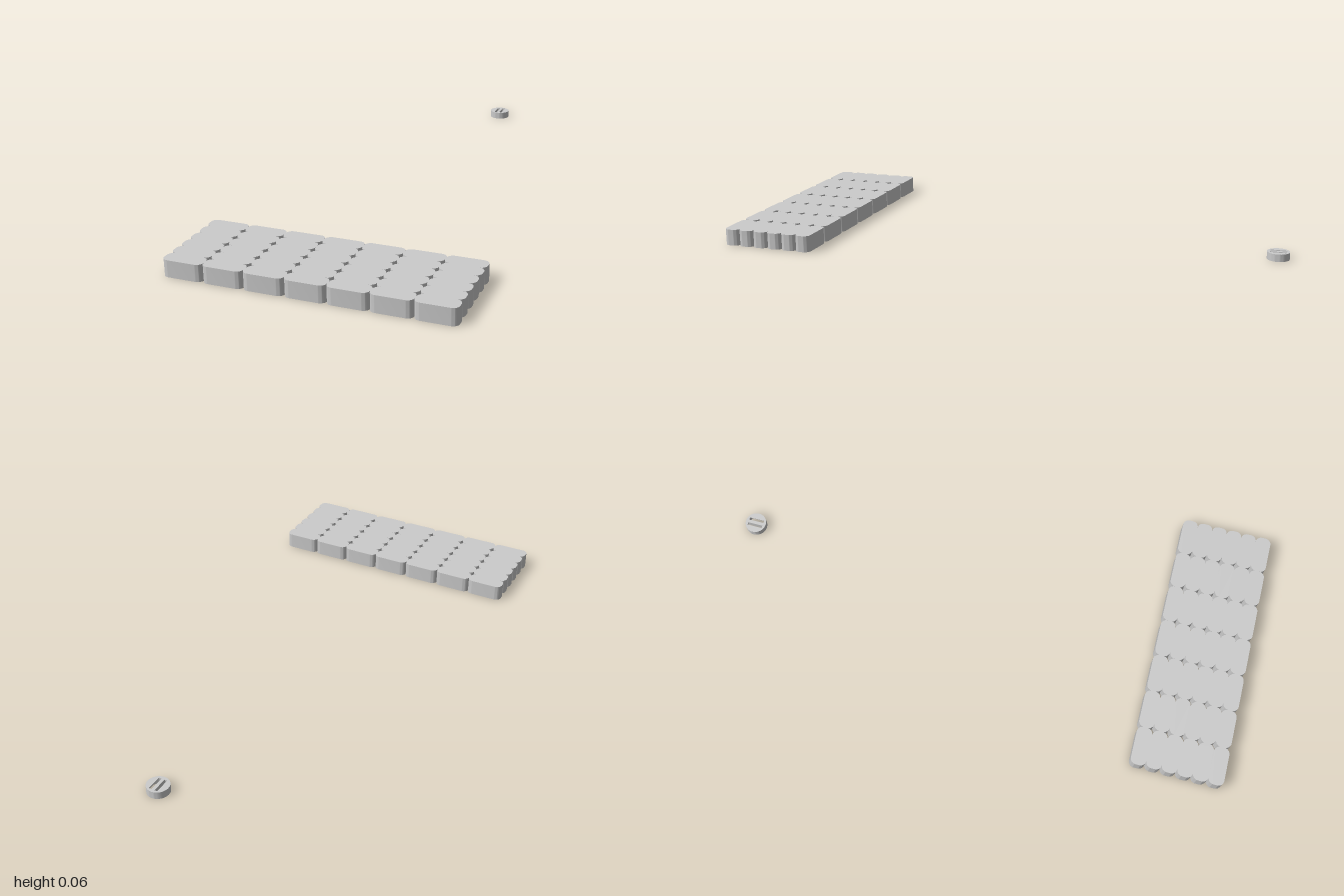
import * as THREE from 'three';
import { toCreasedNormals } from 'three/addons/utils/BufferGeometryUtils.js';

const material = new THREE.MeshStandardMaterial({ color: 0xcccccc });

// Rounded rectangle centred on the origin
function roundedRect(target, w, d, r) {
  const x = w / 2, y = d / 2;
  target.moveTo(-x + r, -y);
  target.lineTo(x - r, -y);
  target.absarc(x - r, -y + r, r, -Math.PI / 2, 0);
  target.lineTo(x, y - r);
  target.absarc(x - r, y - r, r, 0, Math.PI / 2);
  target.lineTo(-x + r, y);
  target.absarc(-x + r, y - r, r, Math.PI / 2, Math.PI);
  target.lineTo(-x, -y + r);
  target.absarc(-x + r, -y + r, r, Math.PI, Math.PI * 1.5);
  return target;
}

// Extrude a plan shape upwards from y0 to y1
function slab(shape, y0, y1, curveSegments) {
  const g = new THREE.ExtrudeGeometry(shape, { depth: y1 - y0, bevelEnabled: false, curveSegments });
  g.rotateX(-Math.PI / 2);
  g.translate(0, y0, 0);
  return toCreasedNormals(g, 0.6);
}

function part(name, geometry) {
  const mesh = new THREE.Mesh(geometry, material);
  mesh.name = name;
  return mesh;
}

// Tray of cells, closed on top and open underneath
function createTray() {
  const cols = 7, rows = 6, height = 0.06, roof = 0.004, wall = 0.002;
  const w = 0.99 / cols, d = 0.342 / rows, r = 0.022;
  const wallShape = roundedRect(new THREE.Shape(), w, d, r);
  wallShape.holes.push(roundedRect(new THREE.Path(), w - 2 * wall, d - 2 * wall, r - wall));
  const wallGeometry = slab(wallShape, 0, height - roof, 6);
  const roofGeometry = slab(roundedRect(new THREE.Shape(), w, d, r), height - roof, height, 6);

  const tray = new THREE.Group();
  tray.name = 'tray';
  for (let i = 0; i < cols; i++) {
    for (let j = 0; j < rows; j++) {
      const cell = new THREE.Group();
      cell.name = 'cell';
      cell.add(part('cellWall', wallGeometry), part('cellRoof', roofGeometry));
      cell.position.set((i - (cols - 1) / 2) * w, 0, 1 - d * (j + 0.5));
      tray.add(cell);
    }
  }
  return tray;
}

// Small round cap with a rim, a slotted top and a central rib
function createCap() {
  const R = 0.04, inner = 0.035, height = 0.027, plate = 0.005;
  const cap = new THREE.Group();
  cap.name = 'cap';

  const rim = new THREE.Shape().absarc(0, 0, R, 0, Math.PI * 2);
  rim.holes.push(new THREE.Path().absarc(0, 0, inner, 0, Math.PI * 2));
  cap.add(part('capRim', slab(rim, 0, height, 20)));

  const top = new THREE.Shape().absarc(0, 0, inner, 0, Math.PI * 2);
  for (const side of [-1, 1]) {
    const slot = [[-0.005, -0.029], [0.005, -0.029], [0.005, 0.029], [-0.005, 0.029]];
    top.holes.push(new THREE.Path(slot.map(([x, y]) => new THREE.Vector2(x + side * 0.011, y))));
  }
  cap.add(part('capTop', slab(top, height - plate, height, 20)));

  const rib = part('capRib', new THREE.BoxGeometry(0.008, height - plate, inner * 2));
  rib.position.y = (height - plate) / 2;
  cap.add(rib);

  cap.position.set(0.065, 0, -0.96);
  return cap;
}

export function createModel() {
  const model = new THREE.Group();
  model.name = 'cellTrayAndCap';
  model.add(createTray(), createCap());
  return model;
}
